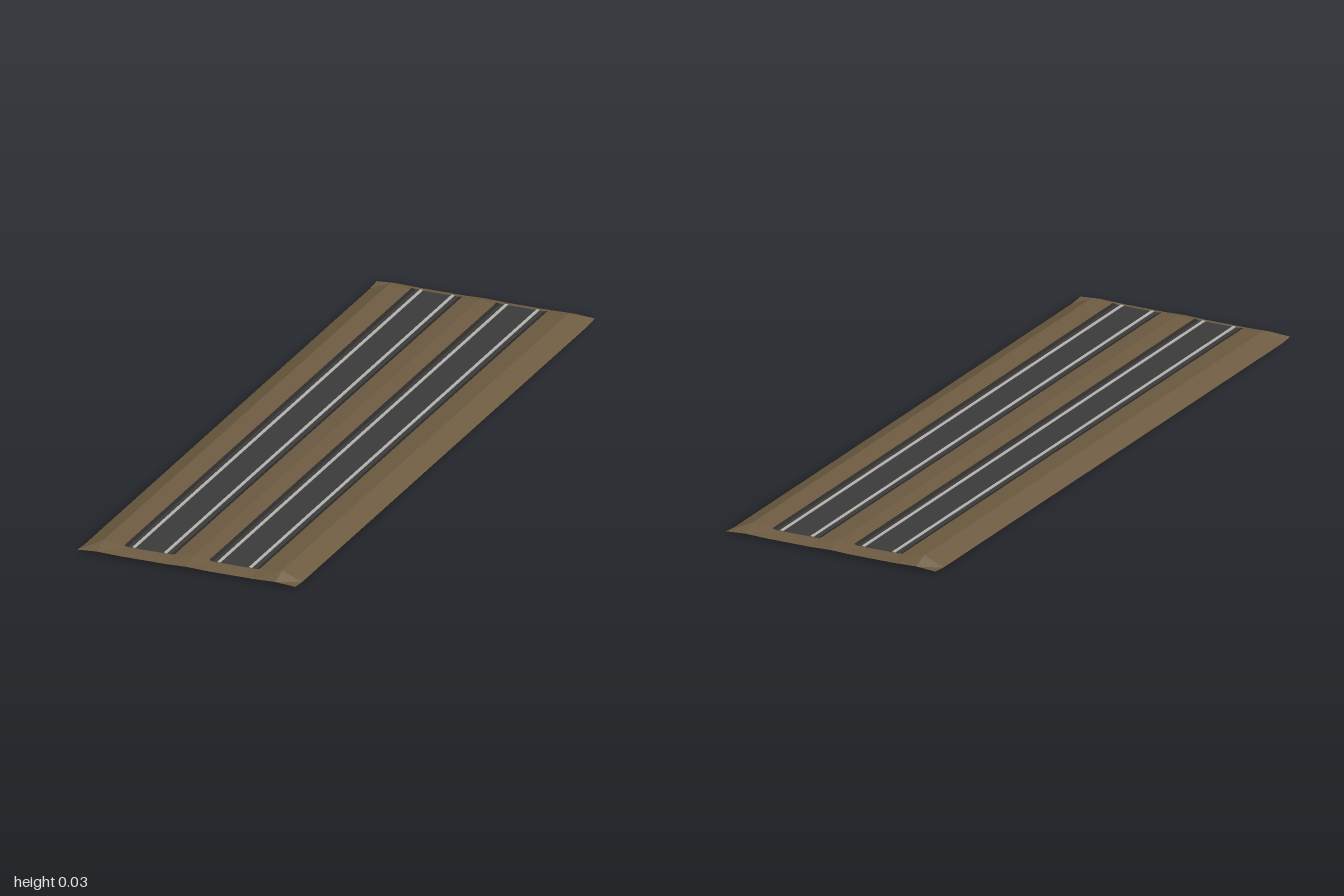
import * as THREE from 'three';

const material = (name, color, side = THREE.FrontSide) => {
  const m = new THREE.MeshStandardMaterial({ color, side });
  m.name = name;
  return m;
};

// Surface lofted through cross-sections, each a list of [x, y] placed at z.
function loft(sections, zs) {
  const n = sections[0].length;
  const pos = [], index = [];
  sections.forEach((s, j) => s.forEach(([x, y]) => pos.push(x, y, zs[j])));
  for (let j = 0; j < zs.length - 1; j++) {
    for (let i = 0; i < n - 1; i++) {
      const a = j * n + i, b = a + 1, c = a + n, d = c + 1;
      index.push(a, c, b, b, c, d);
    }
  }
  const g = new THREE.BufferGeometry();
  g.setAttribute('position', new THREE.Float32BufferAttribute(pos, 3));
  g.setIndex(index);
  const flat = g.toNonIndexed();
  flat.computeVertexNormals();
  return flat;
}

// Turns a half profile (outer edge to centre) into a full one.
const mirror = half => [
  ...half.map(([x, y]) => [-x, y]),
  ...half.slice(0, -1).reverse(),
];

export function createModel() {
  const group = new THREE.Group();
  const earth = material('brown earth', 0x6d5b41, THREE.DoubleSide);
  const ballast = material('dark grey bed', 0x3b3b3c, THREE.DoubleSide);
  const edge = material('black edging', 0x2e2c29, THREE.DoubleSide);
  const pale = material('pale grey line', 0xb4b2ad);

  const add = (name, geometry, mat, parent = group) => {
    const mesh = new THREE.Mesh(geometry, mat);
    mesh.name = name;
    parent.add(mesh);
    return mesh;
  };

  // Embankment sheet: ridges at both sides, low hump between the beds
  const end = mirror([[0.318, 0.004], [0.26, 0.008], [0.19, 0.006], [0.06, 0.006], [0, 0.008]]);
  const mid = mirror([[0.318, 0], [0.26, 0.025], [0.19, 0.0165], [0.06, 0.0165], [0, 0.022]]);
  add('ground', loft([end, mid, mid, end], [-1, -0.955, 0.955, 1]), earth);

  // Two parallel beds with sloped edging and pale lines
  const length = 1.92;
  for (const side of [-1, 1]) {
    const lane = new THREE.Group();
    lane.name = side > 0 ? 'leftBed' : 'rightBed';
    lane.position.x = side * 0.124;
    group.add(lane);

    const strip = [[-0.064, 0.018], [0.064, 0.018]];
    add('bedSurface', loft([strip, strip], [-length / 2, length / 2]), ballast, lane);

    for (const s of [-1, 1]) {
      const slope = s > 0
        ? [[0.064, 0.018], [0.074, 0.0212]]
        : [[-0.074, 0.0212], [-0.064, 0.018]];
      add('bedEdging', loft([slope, slope], [-length / 2, length / 2]), edge, lane);

      const line = add('paleLine', new THREE.BoxGeometry(0.009, 0.002, length), pale, lane);
      line.position.set(s * 0.046, 0.0195, 0);
    }
  }
  return group;
}
